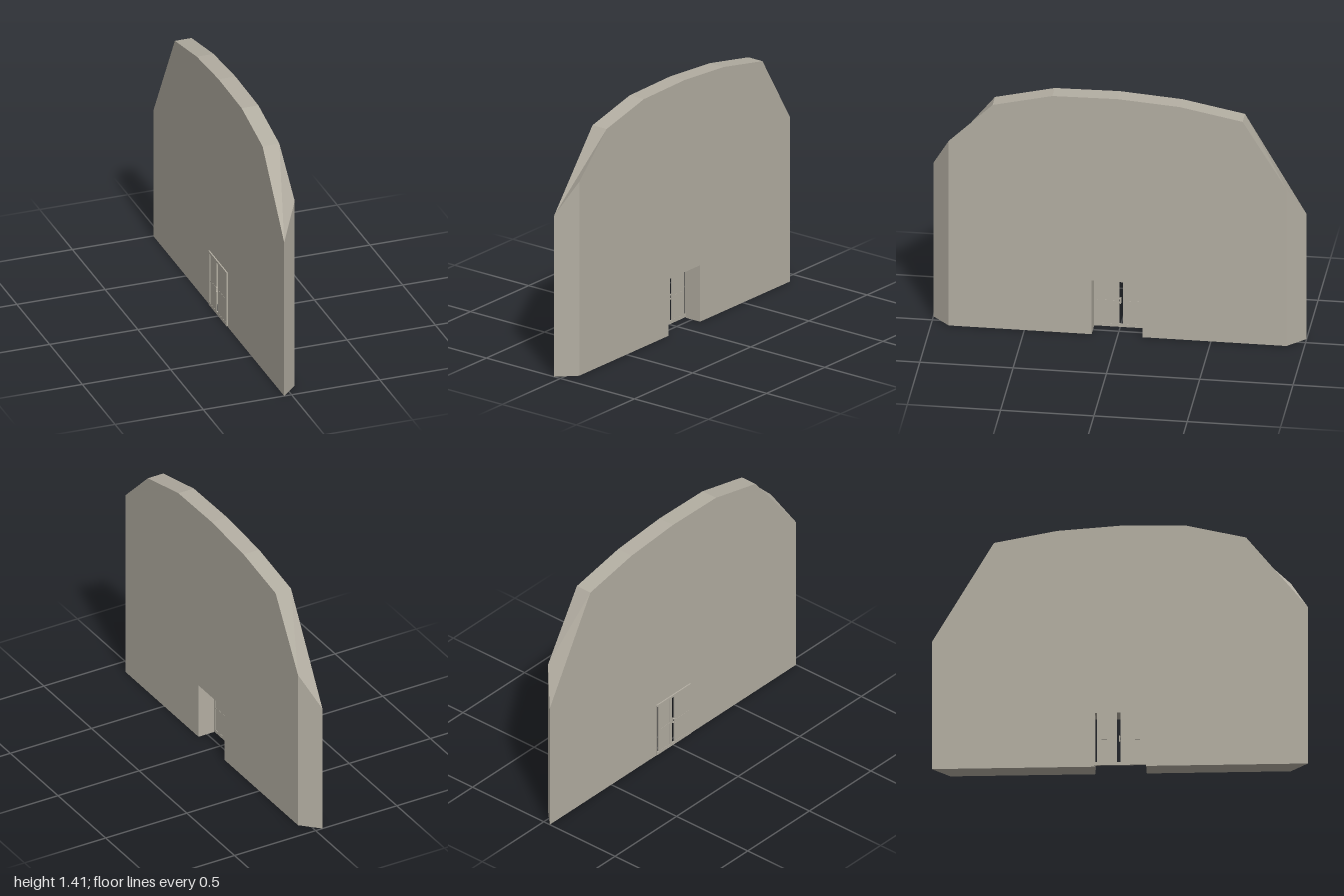
import * as THREE from 'three';

const stone = new THREE.MeshStandardMaterial({ color: 0xb3aea2 });
stone.name = 'warm grey';

// Outline of the wall as [z, y]; the two ends differ between the outer and inner faces.
function outline(end, frontTop, backTop) {
  return [
    [-end, 0], [-0.133, 0], [-0.133, 0.32], [0.139, 0.32], [0.139, 0], [end, 0],
    [end, frontTop], [0.67, 1.33], [0.35, 1.405], [0, 1.41], [-0.335, 1.385], [-0.67, 1.32],
    [-end, backTop],
  ].map(([z, y]) => new THREE.Vector2(z, y));
}

// Slab between two outlines, with mitred ends and a doorway.
function wallGeometry() {
  const outer = outline(1, 0.915, 0.745);
  const inner = outline(0.905, 1.1, 0.935);
  const pos = [];
  const O = (i) => [-0.042, outer[i].y, outer[i].x];
  const I = (i) => [0.053, inner[i].y, inner[i].x];
  const tri = (a, b, c) => pos.push(...a, ...b, ...c);
  for (const [a, b, c] of THREE.ShapeUtils.triangulateShape(outer, [])) tri(O(a), O(b), O(c));
  for (const [a, b, c] of THREE.ShapeUtils.triangulateShape(inner, [])) tri(I(a), I(c), I(b));
  for (let i = 0; i < outer.length; i++) {
    const j = (i + 1) % outer.length;
    tri(O(i), I(i), I(j));
    tri(O(i), I(j), O(j));
  }
  const g = new THREE.BufferGeometry();
  g.setAttribute('position', new THREE.Float32BufferAttribute(pos, 3));
  g.computeVertexNormals();
  return g;
}

// Box given by its limits on each axis.
function block(name, [x0, x1], [y0, y1], [z0, z1]) {
  const m = new THREE.Mesh(new THREE.BoxGeometry(x1 - x0, y1 - y0, z1 - z0), stone);
  m.position.set((x0 + x1) / 2, (y0 + y1) / 2, (z0 + z1) / 2);
  m.name = name;
  return m;
}

export function createModel() {
  const model = new THREE.Group();
  model.name = 'wallWithDoor';

  const wall = new THREE.Mesh(wallGeometry(), stone);
  wall.name = 'wall';
  model.add(wall);

  // Door frame rails and thin side post
  const door = new THREE.Group();
  door.name = 'door';
  const fx = [-0.049, -0.042];
  door.add(
    block('topRail', fx, [0.311, 0.324], [-0.138, 0.138]),
    block('bottomRail', fx, [0.005, 0.023], [-0.138, 0.138]),
    block('sidePost', fx, [0.023, 0.311], [-0.138, -0.132]),
  );

  // Two leaves, each with an upper and a lower panel between stiles
  for (const [z0, z1] of [[0.004, 0.138], [-0.121, -0.015]]) {
    const s = 0.018;
    door.add(
      block('stile', fx, [0.023, 0.311], [z0, z0 + s]),
      block('stile', fx, [0.023, 0.311], [z1 - s, z1]),
      block('lowerPanel', [-0.048, -0.043], [0.023, 0.155], [z0 + s, z1 - s]),
      block('upperPanel', [-0.048, -0.043], [0.16, 0.311], [z0 + s, z1 - s]),
      block('middleRail', fx, [0.154, 0.161], [z0 + s, z1 - s]),
    );
  }

  // Pull handle reaching through the slot
  const handle = new THREE.Group();
  handle.name = 'handle';
  for (const x of [-0.057, -0.043]) handle.add(block('grip', [x, x + 0.003], [0.142, 0.175], [-0.006, 0]));
  for (const y of [0.145, 0.169]) handle.add(block('bracket', [-0.057, -0.04], [y, y + 0.003], [-0.006, 0.005]));
  door.add(handle);

  model.add(door);
  return model;
}
